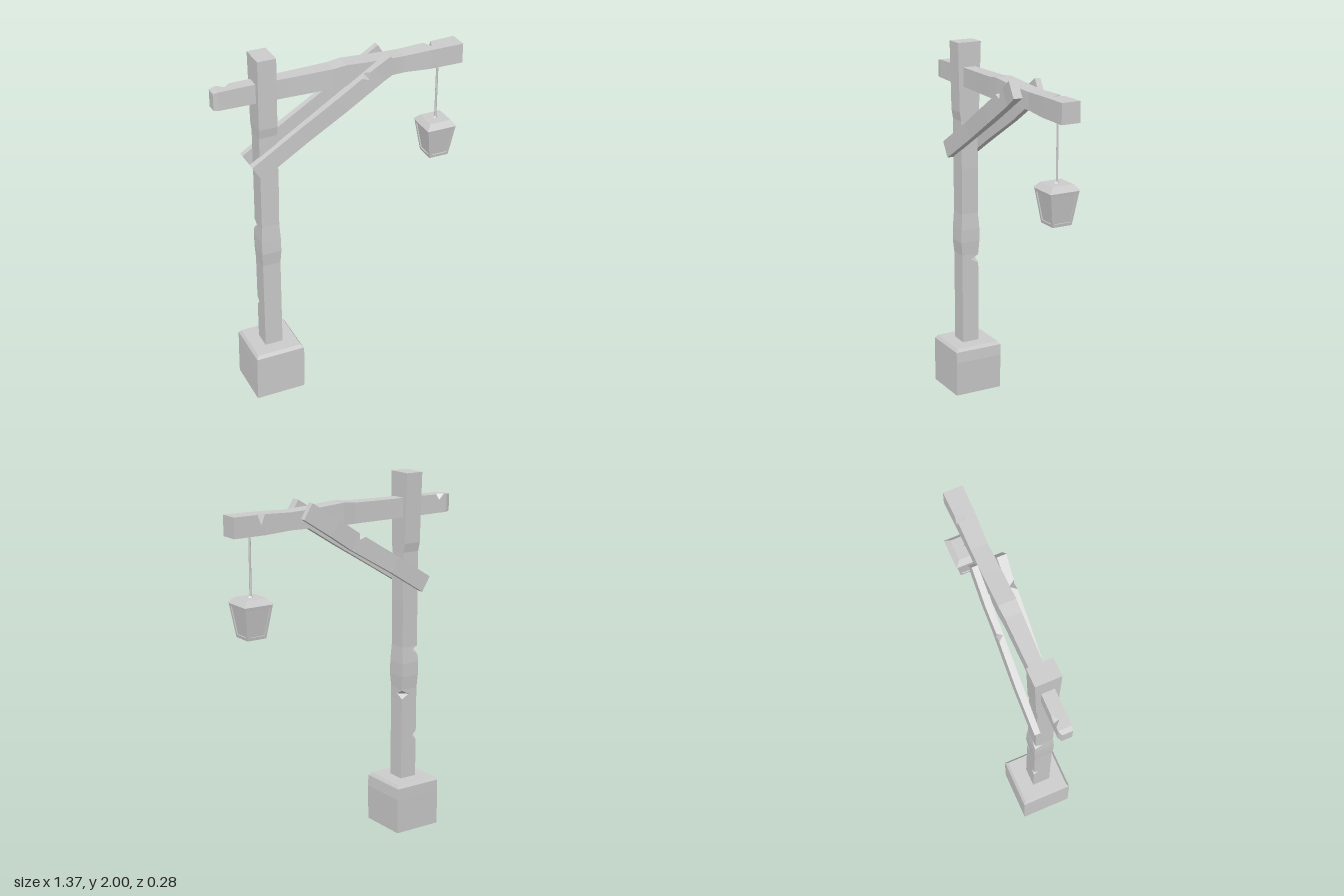
import * as THREE from 'three';

const material = new THREE.MeshStandardMaterial({ color: 0xcccccc, flatShading: true });

// Lofts rectangular sections along z. Station: [z, x0, x1, y0, y1].
// Chip: [z, corner, size, halfLength] cuts a nick out of one long edge.
// Corners: 0 (x1,y1), 1 (x0,y1), 2 (x0,y0), 3 (x1,y0)
function timber(stations, chips = []) {
  const sectionAt = (t) => {
    let i = 0;
    while (i < stations.length - 2 && stations[i + 1][0] < t) i++;
    const a = stations[i], b = stations[i + 1];
    const k = (t - a[0]) / (b[0] - a[0]);
    return a.map((v, j) => v + (b[j] - v) * k);
  };
  const all = stations.map((s) => ({ s, cut: [0, 0, 0, 0] }));
  for (const [t, corner, size, half] of chips) {
    for (const d of [-half, 0, half]) {
      const cut = [0, 0, 0, 0];
      if (d === 0) cut[corner] = size;
      all.push({ s: sectionAt(t + d), cut });
    }
  }
  all.sort((p, q) => p.s[0] - q.s[0]);

  // Every corner is a pair of points, which part only at a chip
  const rings = all.map(({ s: [z, x0, x1, y0, y1], cut: c }) => [
    [x1, y1 - c[0], z], [x1 - c[0], y1, z],
    [x0 + c[1], y1, z], [x0, y1 - c[1], z],
    [x0, y0 + c[2], z], [x0 + c[2], y0, z],
    [x1 - c[3], y0, z], [x1, y0 + c[3], z],
  ]);
  const pos = [];
  const tri = (...pts) => pts.forEach((p) => pos.push(...p));
  for (let r = 0; r < rings.length - 1; r++) {
    const a = rings[r], b = rings[r + 1];
    for (let i = 0; i < 8; i++) {
      const j = (i + 1) % 8;
      tri(a[i], a[j], b[j]);
      tri(a[i], b[j], b[i]);
    }
  }
  const first = rings[0], last = rings[rings.length - 1];
  for (const [i, j] of [[2, 4], [4, 6]]) {
    tri(last[0], last[i], last[j]);
    tri(first[0], first[j], first[i]);
  }
  const geometry = new THREE.BufferGeometry();
  geometry.setAttribute('position', new THREE.Float32BufferAttribute(pos, 3));
  geometry.computeVertexNormals();
  return geometry;
}

const upright = (g) => g.rotateX(-Math.PI / 2); // section (x, -z), length along y
const sideways = (g) => g.rotateY(Math.PI / 2); // section (-z, y), length along x

// Square frustum between two heights, given half widths
function frustum(y0, half0, y1, half1) {
  return new THREE.CylinderGeometry(half1 * Math.SQRT2, half0 * Math.SQRT2, y1 - y0, 4)
    .rotateY(Math.PI / 4).translate(0, (y0 + y1) / 2, 0);
}

function add(parent, name, geometry) {
  const mesh = new THREE.Mesh(geometry, material);
  mesh.name = name;
  parent.add(mesh);
  return mesh;
}

function createLantern() {
  const lantern = new THREE.Group();
  lantern.name = 'lantern';
  add(lantern, 'lanternPanes', frustum(1.236, 0.049, 1.405, 0.074));
  add(lantern, 'lanternBottom', frustum(1.23, 0.055, 1.246, 0.0575));
  add(lantern, 'lanternTopFrame', frustum(1.392, 0.079, 1.41, 0.082));
  add(lantern, 'lanternRoof', frustum(1.41, 0.086, 1.44, 0.06));
  for (let i = 0; i < 4; i++) {
    const bar = add(lantern, 'lanternCornerBar', upright(timber([
      [1.235, 0.044, 0.056, 0.044, 0.056],
      [1.405, 0.069, 0.081, 0.069, 0.081],
    ])));
    bar.rotation.y = i * Math.PI / 2;
  }
  add(lantern, 'ropeKnot', new THREE.ConeGeometry(0.016, 0.02, 4).translate(0, 1.448, 0));
  add(lantern, 'rope', new THREE.CylinderGeometry(0.006, 0.006, 0.36, 6).translate(0, 1.6, 0));
  lantern.position.x = 0.565;
  return lantern;
}

export function createModel() {
  const model = new THREE.Group();
  model.name = 'lanternPost';

  // Stone block with a bevelled top
  add(model, 'baseBlock', upright(timber([
    [0, -0.555, -0.277, -0.138, 0.14],
    [0.2, -0.552, -0.272, -0.138, 0.143],
    [0.262, -0.55, -0.276, -0.138, 0.143],
    [0.28, -0.538, -0.288, -0.125, 0.13],
  ])));

  // Upright, swollen in the middle and flared at the top
  add(model, 'post', upright(timber([
    [0.25, -0.465, -0.365, -0.05, 0.05],
    [0.8, -0.465, -0.365, -0.05, 0.05],
    [0.875, -0.469, -0.361, -0.057, 0.056],
    [0.95, -0.469, -0.361, -0.055, 0.056],
    [1.04, -0.464, -0.366, -0.05, 0.05],
    [1.3, -0.463, -0.363, -0.05, 0.05],
    [1.57, -0.463, -0.365, -0.05, 0.05],
    [1.62, -0.465, -0.365, -0.058, 0.06],
    [2, -0.465, -0.365, -0.065, 0.073],
  ], [[0.52, 1, 0.03, 0.025], [0.77, 0, 0.045, 0.025], [1.02, 1, 0.04, 0.03]])));

  // Cross beam
  add(model, 'crossBeam', sideways(timber([
    [-0.685, -0.025, 0.03, 1.765, 1.857],
    [-0.66, -0.03, 0.04, 1.762, 1.862],
    [-0.45, -0.032, 0.038, 1.76, 1.866],
    [-0.3, -0.035, 0.04, 1.76, 1.866],
    [-0.05, -0.045, 0.043, 1.76, 1.87],
    [0.02, -0.047, 0.048, 1.76, 1.878],
    [0.2, -0.045, 0.05, 1.765, 1.866],
    [0.35, -0.04, 0.05, 1.768, 1.86],
    [0.5, -0.047, 0.05, 1.76, 1.866],
    [0.685, -0.05, 0.055, 1.76, 1.868],
  ], [[-0.61, 0, 0.03, 0.03], [0.525, 0, 0.055, 0.022], [0.12, 3, 0.035, 0.03]])));

  // Diagonal braces on both sides of the post
  const braceLength = 0.896;
  const brace = (name, stations, chips) => {
    const mesh = add(model, name, sideways(timber(stations, chips)));
    mesh.position.set(-0.4925, 1.39, 0);
    mesh.rotation.z = Math.atan2(0.47, 0.7625);
  };
  brace('frontBrace', [
    [0, -0.085, -0.047, -0.048, 0.048],
    [0.3, -0.08, -0.045, -0.05, 0.046],
    [0.55, -0.085, -0.043, -0.052, 0.046],
    [0.8, -0.086, -0.043, -0.05, 0.048],
    [braceLength, -0.094, -0.043, -0.048, 0.049],
  ], [[0.74, 1, 0.035, 0.025]]);
  brace('backBrace', [
    [0, 0.055, 0.086, -0.048, 0.046],
    [0.25, 0.055, 0.092, -0.047, 0.047],
    [0.55, 0.056, 0.088, -0.055, 0.045],
    [0.7, 0.056, 0.092, -0.05, 0.047],
    [braceLength, 0.056, 0.088, -0.047, 0.049],
  ], [[0.53, 0, 0.028, 0.025]]);

  model.add(createLantern());
  return model;
}
